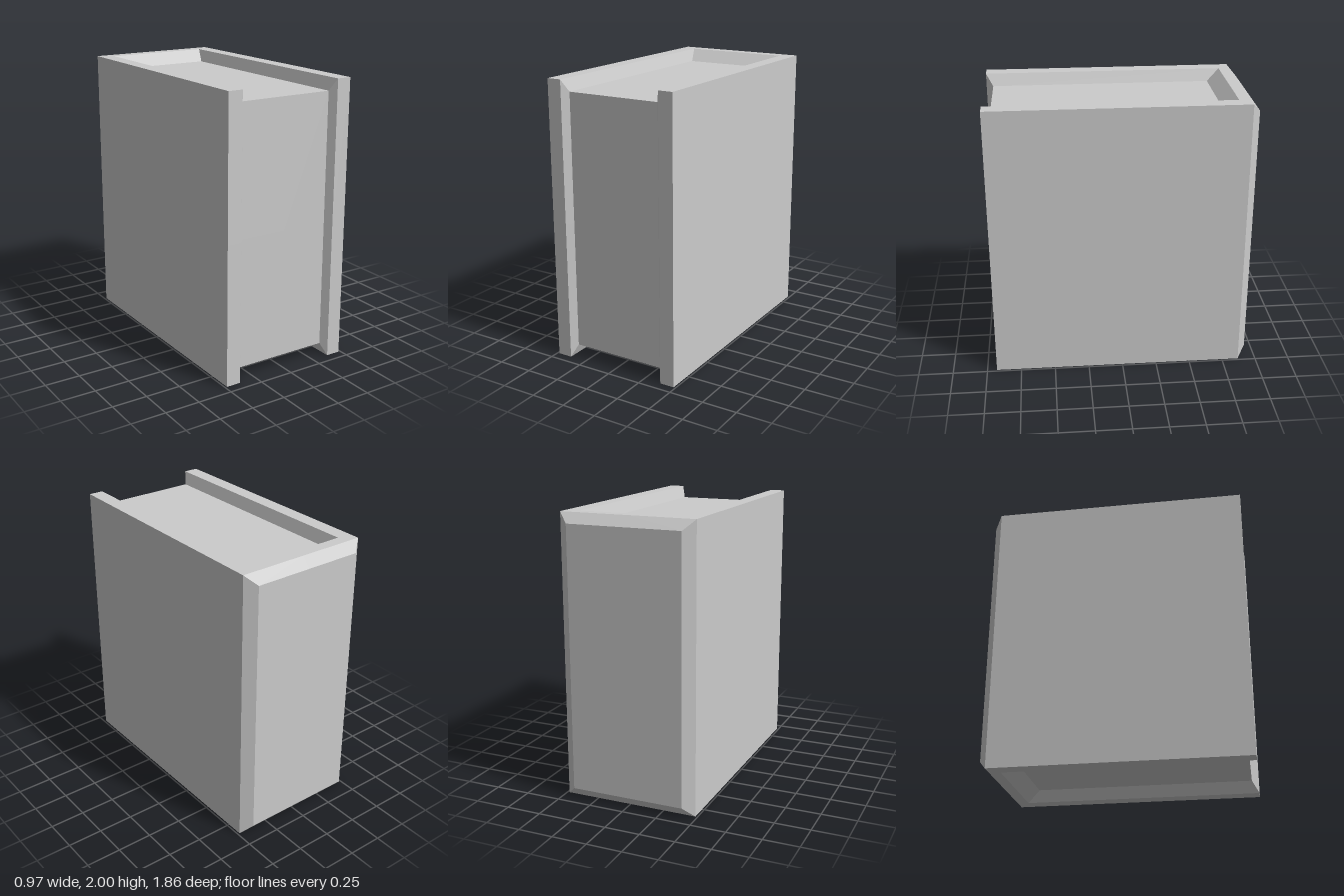
import * as THREE from 'three';

// Key corners of the upper +x quarter, y measured from mid-height
const pageMid = [0, 0.915, 0.88], pageFront = [0.345, 0.915, 0.88];
const pageBack = [0.345, 0.915, -0.70], pageBackMid = [0, 0.915, -0.70];
const lipFront = [0.38, 1, 0.93], lipBack = [0.38, 1, -0.79], lipBackMid = [0, 1, -0.79];
const edgeFront = [0.485, 1, 0.93], edgeBack = [0.485, 1, -0.87], edgeBackMid = [0, 1, -0.87];
const spineEdge = [0.41, 0.93, -0.93], spineMid = [0, 0.93, -0.93];

// Vertical face between two upper corners, reaching down to mid-height
const wall = (a, b) => [[a[0], 0, a[2]], [b[0], 0, b[2]], b, a];

// Mirror the quarter's quads in x and y, keeping the faces outward
function mirroredMesh(name, quads, material) {
  const positions = [];
  for (const sx of [1, -1]) {
    for (const sy of [1, -1]) {
      const order = sx * sy > 0 ? [0, 1, 2, 0, 2, 3] : [0, 2, 1, 0, 3, 2];
      for (const quad of quads) {
        for (const i of order) {
          const [x, y, z] = quad[i];
          positions.push(x * sx, y * sy + 1, z);
        }
      }
    }
  }
  const geometry = new THREE.BufferGeometry();
  geometry.setAttribute('position', new THREE.Float32BufferAttribute(positions, 3));
  geometry.computeVertexNormals();
  const mesh = new THREE.Mesh(geometry, material);
  mesh.name = name;
  return mesh;
}

export function createModel() {
  const group = new THREE.Group();
  group.name = 'book';
  const material = new THREE.MeshStandardMaterial({ color: 0xcccccc, flatShading: true });

  // Page block: fore-edge plus top and bottom
  group.add(mirroredMesh('pages', [
    wall(pageMid, pageFront),
    [pageMid, pageFront, pageBack, pageBackMid],
  ], material));

  // Cover boards: bevelled inner lip, rim and outer side
  group.add(mirroredMesh('coverBoards', [
    wall(pageFront, lipFront),
    wall(lipFront, edgeFront),
    wall(edgeFront, edgeBack),
    [lipFront, edgeFront, edgeBack, lipBack],
    [pageFront, lipFront, lipBack, pageBack],
  ], material));

  // Spine: chamfered back, rim and inner slope
  group.add(mirroredMesh('spine', [
    wall(edgeBack, spineEdge),
    wall(spineEdge, spineMid),
    [spineEdge, spineMid, edgeBackMid, edgeBack],
    [lipBackMid, lipBack, edgeBack, edgeBackMid],
    [pageBackMid, pageBack, lipBack, lipBackMid],
  ], material));

  return group;
}
